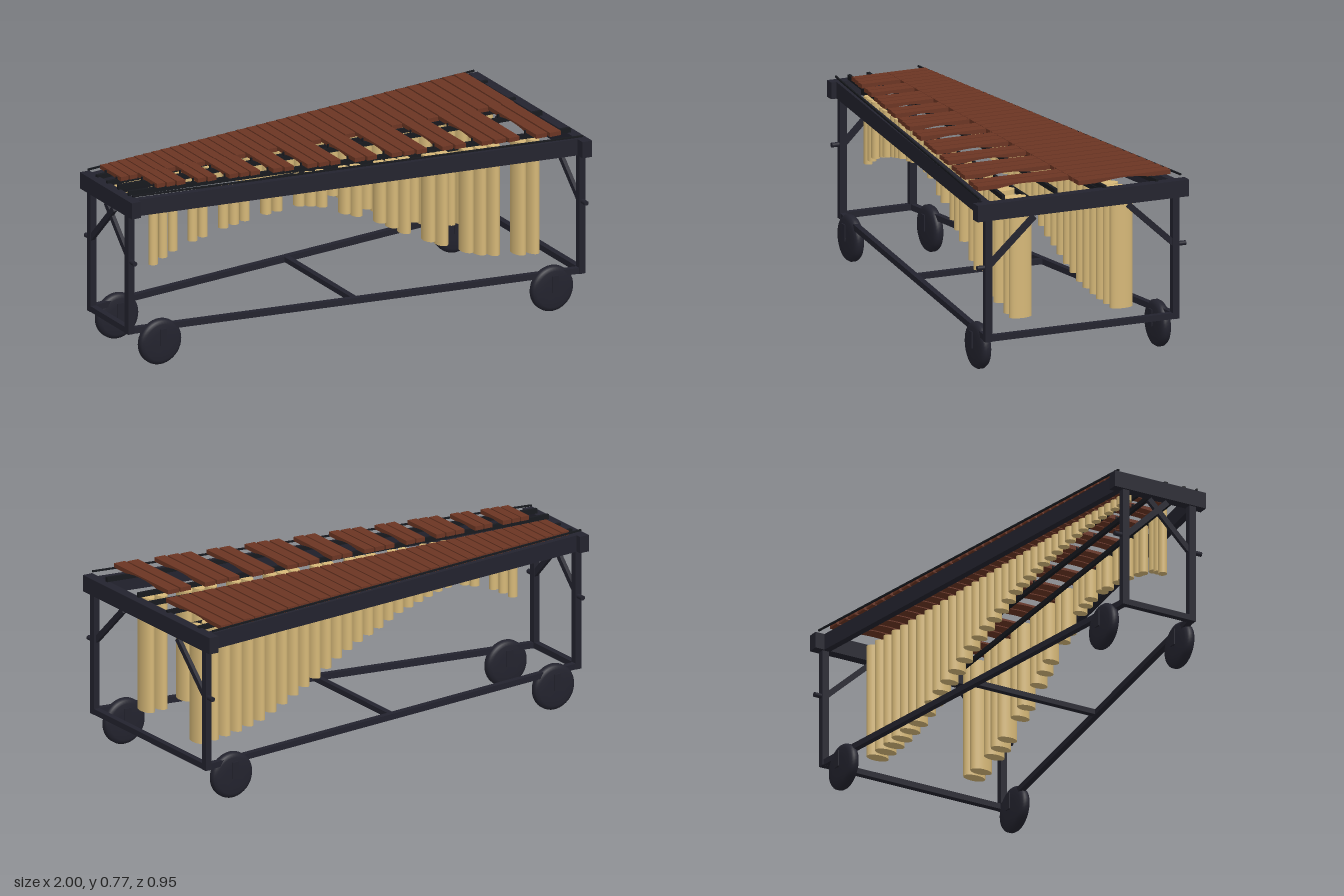
import * as THREE from 'three';

const material = (name, color, extra = {}) => {
  const m = new THREE.MeshStandardMaterial({ color, ...extra });
  m.name = name;
  return m;
};

export function createModel() {
  const model = new THREE.Group();
  model.name = 'marimba';
  const frameMat = material('dark navy frame', 0x23232e);
  const blackMat = material('black supports', 0x17191e);
  const woodMat = material('rosewood', 0x6b3523);
  const brassMat = material('pale brass', 0xd6b878);

  const add = (name, geometry, mat, parent = model) => {
    const mesh = new THREE.Mesh(geometry, mat);
    mesh.name = name;
    parent.add(mesh);
    return mesh;
  };
  const box = (name, w, h, d, x, y, z, mat = frameMat) => {
    const m = add(name, new THREE.BoxGeometry(w, h, d), mat);
    m.position.set(x, y, z);
    return m;
  };
  // Rectangular beam between two points
  const beam = (name, a, b, w, h, mat = frameMat) => {
    const from = new THREE.Vector3(...a), to = new THREE.Vector3(...b);
    const m = add(name, new THREE.BoxGeometry(w, h, from.distanceTo(to)), mat);
    m.position.copy(from).add(to).multiplyScalar(0.5);
    m.lookAt(to);
    return m;
  };
  const lerp = THREE.MathUtils.lerp;
  // Piecewise-linear curve through [x, y] points sorted by x
  const sample = (pts, x) => {
    if (x <= pts[0][0]) return pts[0][1];
    for (let i = 1; i < pts.length; i++) {
      const [x0, y0] = pts[i - 1], [x1, y1] = pts[i];
      if (x <= x1) return lerp(y0, y1, (x - x0) / (x1 - x0));
    }
    return pts[pts.length - 1][1];
  };

  // End frames: top beam, legs, foot beam, braces and knobs
  const ends = [
    { x: 0.978, half: 0.474, leg: 0.42, braceZ: 0.21 },
    { x: -0.978, half: 0.215, leg: 0.157, braceZ: -0.04 },
  ];
  for (const e of ends) {
    box('endBeam', 0.044, 0.07, e.half * 2, e.x, 0.695, 0);
    box('footBeam', 0.026, 0.025, e.leg * 2, e.x, 0.16, 0);
    for (const s of [1, -1]) {
      box('leg', 0.028, 0.52, 0.03, e.x, 0.407, s * e.leg);
      const bx = e.x - Math.sign(e.x) * s * 0.004;
      beam('brace', [bx, 0.465, s * (e.leg - 0.008)], [bx, 0.65, s * e.braceZ], 0.016, 0.024);
      const knob = add('legKnob', new THREE.CylinderGeometry(0.01, 0.01, 0.035, 12), frameMat);
      knob.rotation.x = Math.PI / 2;
      knob.position.set(e.x, 0.46, s * (e.leg + 0.03));
    }
  }

  // Long rails along each side, bar rails and lower rails
  for (const s of [1, -1]) {
    beam('sideRail', [-0.97, 0.695, s * 0.175], [0.97, 0.695, s * 0.418], 0.03, 0.07);
    beam('edgeRod', [-0.98, 0.747, s * 0.185], [0.97, 0.747, s * 0.45], 0.007, 0.007, blackMat);
    beam('lowerRail', [-0.978, 0.16, s * 0.157], [0.978, 0.16, s * 0.42], 0.025, 0.025);
    beam('resonatorRail', [-0.97, 0.675, s * 0.075], [0.97, 0.675, s * 0.165], 0.012, 0.02, blackMat);
    const y = s > 0 ? 0.742 : 0.73;
    beam('innerBarRail', [-0.97, y, s * 0.045], [0.97, y, s * 0.11], 0.014, 0.02, blackMat);
    beam('outerBarRail', [-0.97, y, s * 0.13], [0.97, y, s * 0.345], 0.014, 0.02, blackMat);
  }
  box('middleCrossbar', 0.025, 0.022, 0.56, 0, 0.16, 0);

  // Casters with domed, rounded wheels and thin fork plates
  const tire = [[0, -0.026], [0.045, -0.025], [0.078, -0.023], [0.091, -0.017], [0.097, -0.008],
    [0.097, 0.008], [0.091, 0.017], [0.078, 0.023], [0.045, 0.025], [0, 0.026]]
    .map(([r, h]) => new THREE.Vector2(r, h));
  const wheelGeo = new THREE.LatheGeometry(tire, 40);
  wheelGeo.rotateX(Math.PI / 2);
  for (const x of [0.85, -0.85]) for (const s of [1, -1]) {
    const z = s * (x > 0 ? 0.403 : 0.178);
    add('wheel', wheelGeo, frameMat).position.set(x, 0.098, z);
    for (const side of [1, -1]) box('casterFork', 0.03, 0.07, 0.005, x, 0.125, z + side * 0.033);
    const axle = add('axle', new THREE.CylinderGeometry(0.008, 0.008, 0.066, 12), frameMat);
    axle.rotation.x = Math.PI / 2;
    axle.position.set(x, 0.098, z);
  }

  // Tone bar: slab with an arched underside
  const toneBar = (width, length, arch) => {
    const h = length / 2, shape = new THREE.Shape();
    shape.moveTo(-h, 0);
    shape.lineTo(-h * 0.55, 0);
    shape.quadraticCurveTo(0, arch * 2, h * 0.55, 0);
    shape.lineTo(h, 0);
    shape.lineTo(h, 0.018);
    shape.lineTo(-h, 0.018);
    shape.closePath();
    const g = new THREE.ExtrudeGeometry(shape, { depth: width, bevelEnabled: false, curveSegments: 8 });
    g.translate(0, 0, -width / 2);
    g.rotateY(Math.PI / 2);
    return g;
  };

  // Bottom heights of the resonators along x, for each row
  const lowCurve = [[-0.1, 0.55], [0, 0.505], [0.1, 0.47], [0.2, 0.425], [0.3, 0.365], [0.4, 0.32],
    [0.5, 0.275], [0.6, 0.235], [0.7, 0.215], [0.8, 0.203], [0.9, 0.197]];
  const backCurve = [[-0.9, 0.655], [-0.6, 0.645], [-0.3, 0.6], ...lowCurve];
  const frontCurve = [[-0.84, 0.405], [-0.76, 0.45], [-0.67, 0.48], [-0.54, 0.515], [-0.44, 0.535],
    [-0.3, 0.555], [-0.2, 0.565], ...lowCurve];

  const noteX = (i) => 0.89 - 0.0603 * i + 0.00026 * i * i;
  const pitchAt = (i) => 0.0603 - 0.00052 * i;

  // One note: bar, resonator tube and support posts
  const note = (i, front) => {
    const s = front ? 1 : -1, x = noteX(i), t = i / 35, pitch = pitchAt(i);
    const inner = front ? 0.013 : 0.018;
    const outer = front ? 0.42 - 0.147 * (0.86 - x) : 0.43 - 0.134 * (0.89 - x);
    const barY = front ? 0.757 : 0.738;
    add(front ? 'sharpBar' : 'naturalBar', toneBar(pitch * 0.86, outer - inner, lerp(0.011, 0.003, t)), woodMat)
      .position.set(x, barY, s * (inner + outer) / 2);

    const bottom = sample(front ? frontCurve : backCurve, x), top = 0.69;
    const tube = add('resonator', new THREE.CylinderGeometry(1, 1, top - bottom, 24), brassMat);
    tube.scale.set(pitch * 0.45, 1, lerp(0.05, 0.018, Math.min(1, t * 1.15)));
    tube.position.set(x, (top + bottom) / 2, s * lerp(0.22, 0.1, t));

    const u = (x + 0.97) / 1.94;
    for (const z of [lerp(0.045, 0.11, u), lerp(0.13, 0.345, u)])
      box('barPost', 0.005, 0.028, 0.008, x - pitch / 2, barY - 0.003, s * z, blackMat);
  };

  // Five octaves of naturals at the back, sharps in groups of two and three in front
  for (let i = 0; i < 36; i++) {
    note(i, false);
    if (i < 35 && [0, 1, 3, 4, 5].includes(i % 7)) note(i + 0.5, true);
  }
  return model;
}
